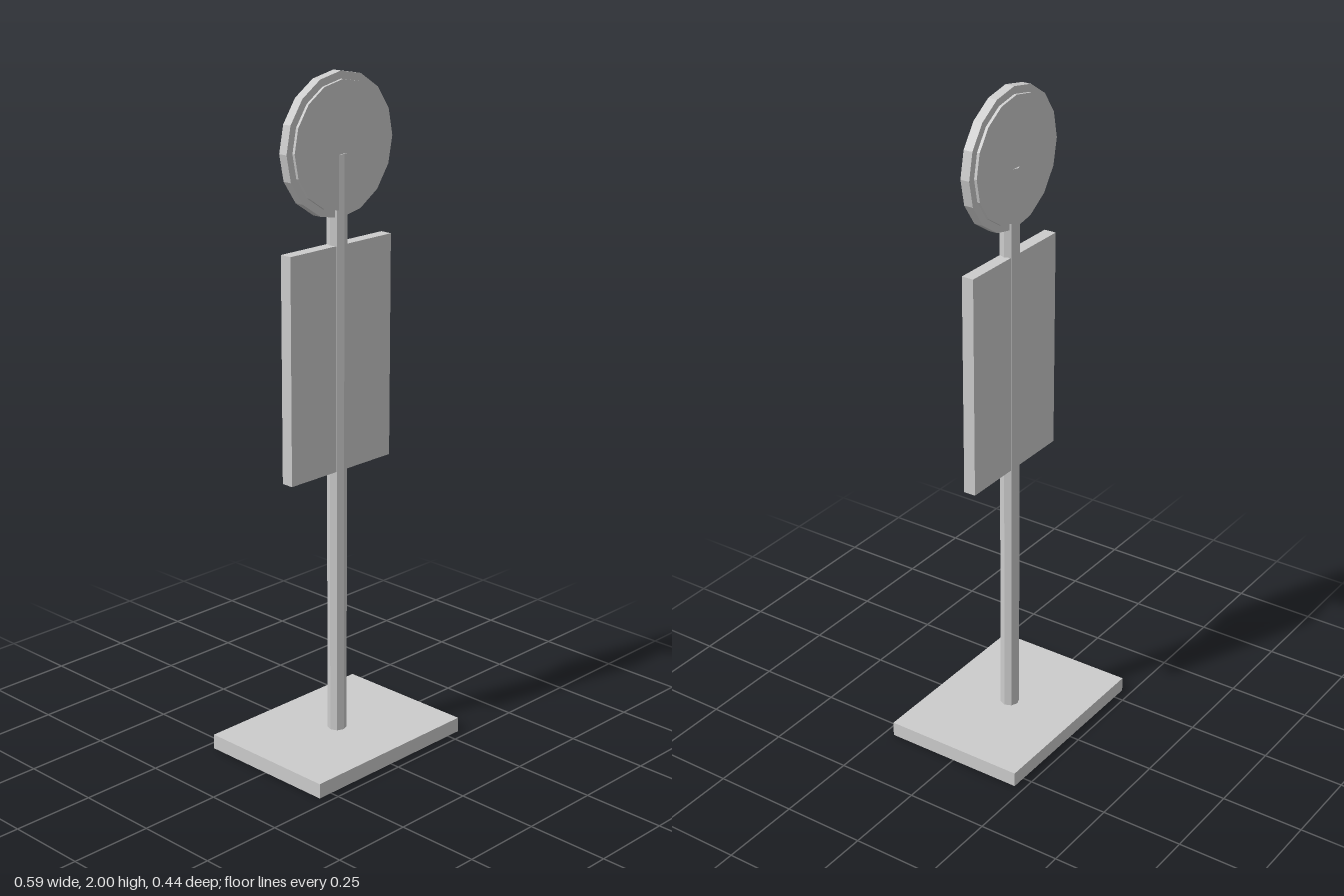
import * as THREE from 'three';

const material = new THREE.MeshStandardMaterial({ color: 0xcccccc, flatShading: true });

function addPart(parent, name, geometry, y) {
  const mesh = new THREE.Mesh(geometry, material);
  mesh.name = name;
  mesh.position.y = y;
  parent.add(mesh);
  return mesh;
}

// Sixteen-sided disc facing front, very slightly flattened in height
function disc(radius, depth) {
  return new THREE.CylinderGeometry(radius, radius, depth, 16)
    .rotateX(Math.PI / 2)
    .scale(1, 0.982, 1);
}

export function createModel() {
  const sign = new THREE.Group();
  sign.name = 'signPost';

  // Foot plate
  const baseHeight = 0.045;
  addPart(sign, 'base', new THREE.BoxGeometry(0.59, baseHeight, 0.442), baseHeight / 2);

  // Octagonal pole, passing through both signs
  const poleTop = 1.775;
  const poleLength = poleTop - baseHeight;
  addPart(sign, 'pole', new THREE.CylinderGeometry(0.0285, 0.0285, poleLength, 8), baseHeight + poleLength / 2);

  // Rectangular board
  addPart(sign, 'board', new THREE.BoxGeometry(0.397, 0.66, 0.037), 1.19);

  // Round sign: thin outer rim with a raised face on both sides
  const roundSign = new THREE.Group();
  roundSign.name = 'roundSign';
  roundSign.position.y = 1.798;
  addPart(roundSign, 'rim', disc(0.206, 0.028), 0);
  addPart(roundSign, 'raisedFace', disc(0.184, 0.045), 0);
  sign.add(roundSign);

  return sign;
}
